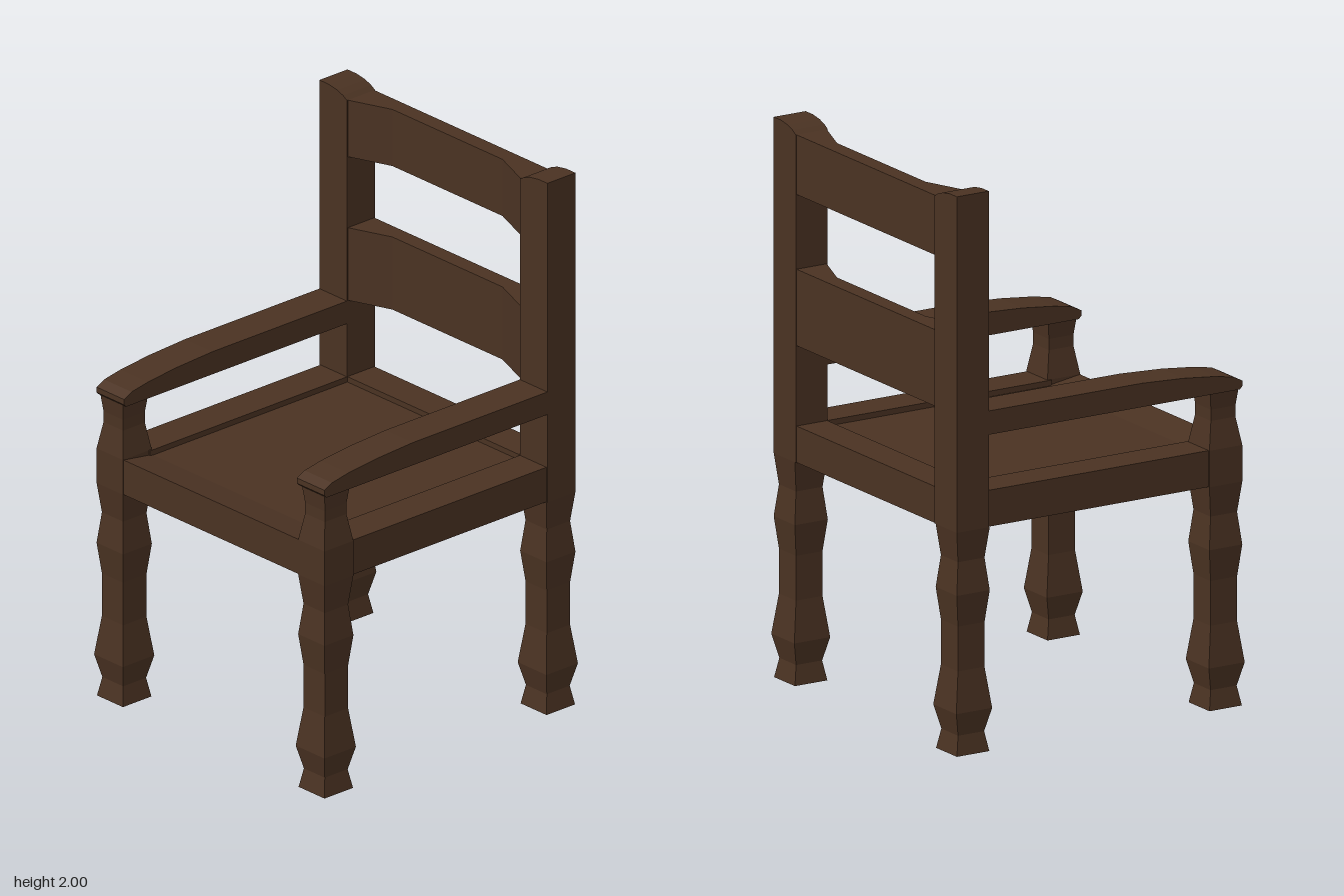
import * as THREE from 'three';

const wood = new THREE.MeshStandardMaterial({ color: 0x4a3222, flatShading: true });

function add(parent, name, geometry, x = 0, y = 0, z = 0) {
  const mesh = new THREE.Mesh(geometry, wood);
  mesh.name = name;
  mesh.position.set(x, y, z);
  parent.add(mesh);
  return mesh;
}

// Box given by its limits on each axis
function block(parent, name, [x0, x1], [y0, y1], [z0, z1]) {
  return add(parent, name, new THREE.BoxGeometry(x1 - x0, y1 - y0, z1 - z0),
    (x0 + x1) / 2, (y0 + y1) / 2, (z0 + z1) / 2);
}

// Outline extruded from 0 to depth
function prism(points, depth) {
  const shape = new THREE.Shape(points.map(([x, y]) => new THREE.Vector2(x, y)));
  return new THREE.ExtrudeGeometry(shape, { depth, bevelEnabled: false });
}

// Outline in (z, y), extruded across x and centred on x = 0
function sideProfile(points, width) {
  return prism(points.map(([z, y]) => [-z, y]), width)
    .translate(0, 0, -width / 2).rotateY(Math.PI / 2);
}

// Square turned leg from [half width, height] pairs
function squareLeg(profile) {
  const rings = profile.map(([w, y]) => new THREE.Vector2(w * Math.SQRT2, y));
  const points = [new THREE.Vector2(0, profile[0][1]), ...rings,
    new THREE.Vector2(0, profile[profile.length - 1][1])];
  return new THREE.LatheGeometry(points, 4, Math.PI / 4);
}

export function createModel() {
  const chair = new THREE.Group();
  chair.name = 'chair';

  const lower = [[0.066, 0], [0.053, 0.07], [0.073, 0.155], [0.054, 0.3],
    [0.054, 0.46], [0.067, 0.575], [0.054, 0.69], [0.067, 0.8]];
  const frontLeg = squareLeg([...lower, [0.067, 0.93], [0.05, 1.03], [0.05, 1.07], [0.058, 1.135]]);
  const backLeg = squareLeg(lower);

  // Armrest drooping toward the front
  const armrest = sideProfile([[-0.46, 1.13], [0.57, 1.13], [0.58, 1.14], [0.58, 1.16],
    [0.545, 1.178], [0.47, 1.192], [0.34, 1.206], [0.17, 1.215], [-0.46, 1.215]], 0.14);

  // Back post with a top rounded on its inner side
  const post = prism([[-0.07, 0.8], [0.07, 0.8], [0.07, 2], [0.025, 2],
    [-0.02, 1.993], [-0.05, 1.982], [-0.07, 1.97]], 0.13);

  for (const [side, s] of [['left', 1], ['right', -1]]) {
    add(chair, side + 'FrontLeg', frontLeg, s * 0.513, 0, 0.513);
    add(chair, side + 'BackLeg', backLeg, s * 0.513, 0, -0.516);
    add(chair, side + 'Armrest', armrest, s * 0.51, 0, 0);
    const g = s > 0 ? post : post.clone().rotateY(Math.PI).translate(0, 0, 0.13);
    add(chair, side + 'BackPost', g, s * 0.51, 0, -0.583);
    const xs = s > 0 ? [0.44, 0.575] : [-0.575, -0.44];
    block(chair, side + 'SeatRail', xs, [0.8, 0.93], [-0.46, 0.46]);
  }

  // Seat slightly sunk behind its raised front edge
  add(chair, 'seat', sideProfile([[-0.46, 0.8], [0.578, 0.8], [0.578, 0.93],
    [0.445, 0.91], [-0.46, 0.91]], 0.89));
  block(chair, 'backRail', [-0.445, 0.445], [0.8, 0.93], [-0.58, -0.455]);

  // Back slats, hollowed on the front
  const plan = [[-0.445, 0.58], [-0.445, 0.455], [-0.28, 0.518],
    [0.28, 0.518], [0.445, 0.455], [0.445, 0.58]].reverse();
  for (const [name, y0, y1] of [['lowerSlat', 1.217, 1.49], ['upperSlat', 1.757, 1.97]]) {
    add(chair, name, prism(plan, y1 - y0).rotateX(-Math.PI / 2), 0, y0, 0);
  }

  return chair;
}
